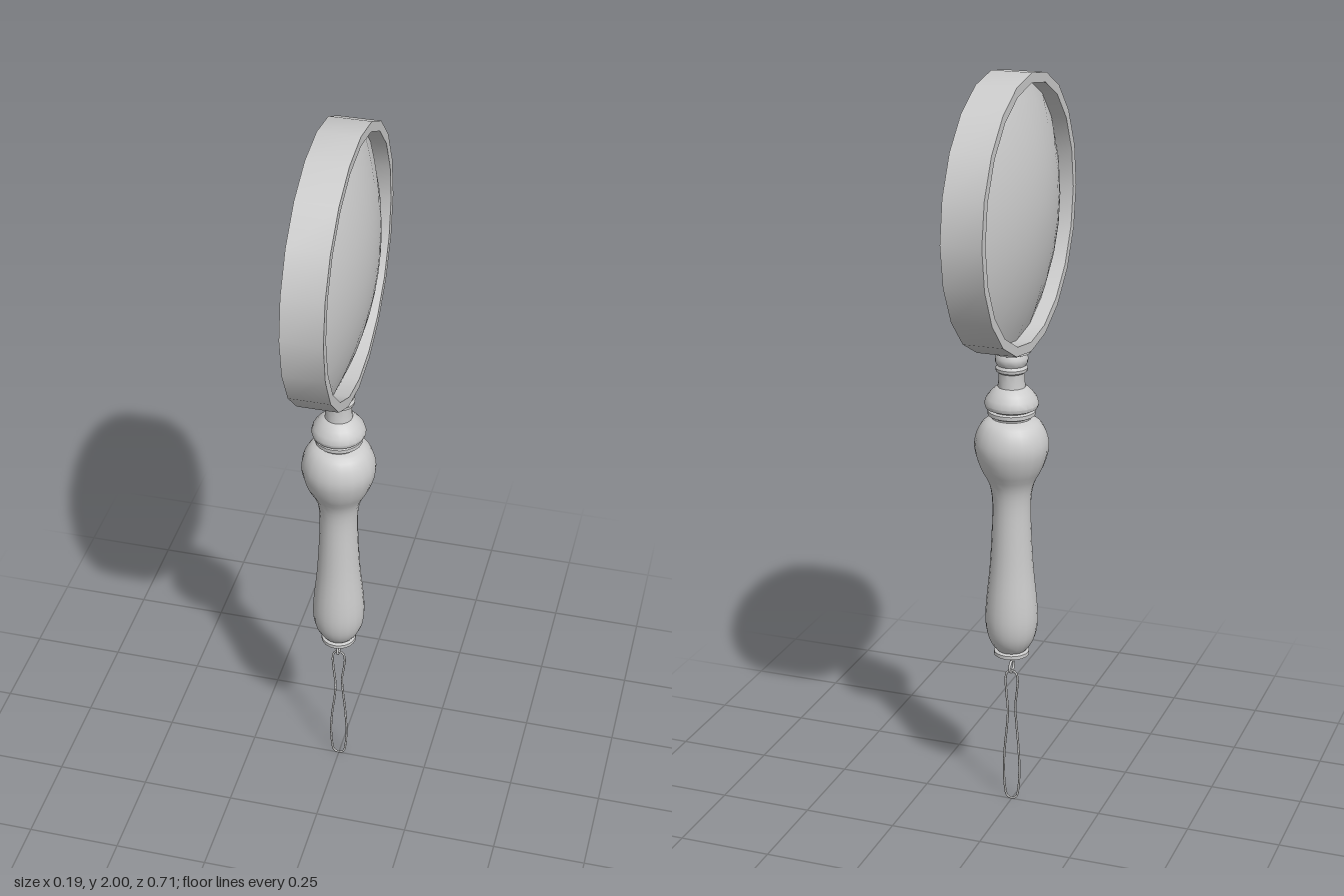
import * as THREE from 'three';
import { toCreasedNormals } from 'three/addons/utils/BufferGeometryUtils.js';

const SIDES = 20;
const material = new THREE.MeshStandardMaterial({ color: 0xcccccc });

function addMesh(parent, name, geometry) {
  const mesh = new THREE.Mesh(geometry, material);
  mesh.name = name;
  parent.add(mesh);
  return mesh;
}

// Turned part from [radius, height] pairs, listed bottom to top
function turned(pairs, crease = 0.65) {
  const points = pairs.map(([r, y]) => new THREE.Vector2(r, y));
  return toCreasedNormals(new THREE.LatheGeometry(points, SIDES), crease);
}

export function createModel() {
  const model = new THREE.Group();

  // Head: rim and domed lens, turned about the x axis
  const head = new THREE.Group();
  head.name = 'head';
  head.position.y = 1.645;
  head.rotation.z = Math.PI / 2;
  model.add(head);

  const outer = 0.355, inner = 0.33, half = 0.053;
  addMesh(head, 'rim', turned([
    [outer, -half], [outer, half], [inner, half], [inner, -half], [outer, -half],
  ]));

  // Convex on both sides, thin at the edge
  const lens = [];
  const steps = 8;
  for (let i = -steps; i <= steps; i++) {
    const r = inner * (1 - Math.abs(i) / steps);
    const bulge = 0.086 - 0.67 * r * r;
    if (i === 0) lens.push([inner, -0.013], [inner, 0.013]);
    else lens.push([r, Math.sign(i) * bulge]);
  }
  addMesh(head, 'lens', turned(lens));

  // Handle grip: waisted shaft with a bulb at the top
  const grip = new THREE.SplineCurve([
    [0.036, 0.45], [0.05, 0.467], [0.064, 0.497], [0.07, 0.54], [0.067, 0.6],
    [0.058, 0.69], [0.052, 0.8], [0.051, 0.88], [0.06, 0.93], [0.083, 0.975],
    [0.097, 1.025], [0.092, 1.065], [0.075, 1.095], [0.052, 1.108],
  ].map(([r, y]) => new THREE.Vector2(r, y))).getPoints(36).map((p) => [p.x, p.y]);
  addMesh(model, 'grip', turned([[0, 0.45], ...grip, [0, 1.108]]));

  // Ferrule: grooved bell, slim neck and flange under the rim
  addMesh(model, 'ferrule', turned([
    [0.052, 1.1], [0.052, 1.112], [0.062, 1.117], [0.062, 1.127], [0.056, 1.131],
    [0.068, 1.137], [0.071, 1.147], [0.066, 1.163], [0.055, 1.177], [0.044, 1.188],
    [0.036, 1.192], [0.034, 1.21], [0.034, 1.23], [0.041, 1.235], [0.042, 1.243],
    [0.037, 1.25], [0.042, 1.258], [0.043, 1.27], [0.038, 1.28],
    [0.049, 1.284], [0.049, 1.297], [0, 1.297],
  ]));

  // End cap with its small eyelet
  addMesh(model, 'endCap', turned([
    [0, 0.44], [0.047, 0.44], [0.047, 0.45], [0.036, 0.455], [0, 0.455],
  ]));
  const stem = addMesh(model, 'eyeletStem', new THREE.CylinderGeometry(0.004, 0.004, 0.03, 8));
  stem.position.y = 0.428;
  const eyelet = addMesh(model, 'eyelet', new THREE.TorusGeometry(0.016, 0.0035, 8, 16));
  eyelet.position.y = 0.4;
  eyelet.rotation.y = Math.PI / 2;

  // Hanging cord: one strand and its half-turn mirror form a twisted loop
  const strand = [
    [0.012, 0.383, 0], [0.017, 0.365, 0], [0.013, 0.325, -0.006], [0.006, 0.275, -0.013],
    [0.009, 0.225, -0.013], [0.017, 0.165, -0.006], [0.022, 0.1, -0.001], [0.02, 0.04, 0],
    [0.013, 0.008, 0],
  ].map((p) => new THREE.Vector3(...p));
  const mirrored = strand.map((p) => new THREE.Vector3(-p.x, p.y, -p.z)).reverse();
  const cord = new THREE.CatmullRomCurve3([
    new THREE.Vector3(0, 0.388, 0), ...strand, new THREE.Vector3(0, 0.003, 0), ...mirrored,
  ], true);
  addMesh(model, 'cord', new THREE.TubeGeometry(cord, 90, 0.003, 6, true));

  return model;
}
